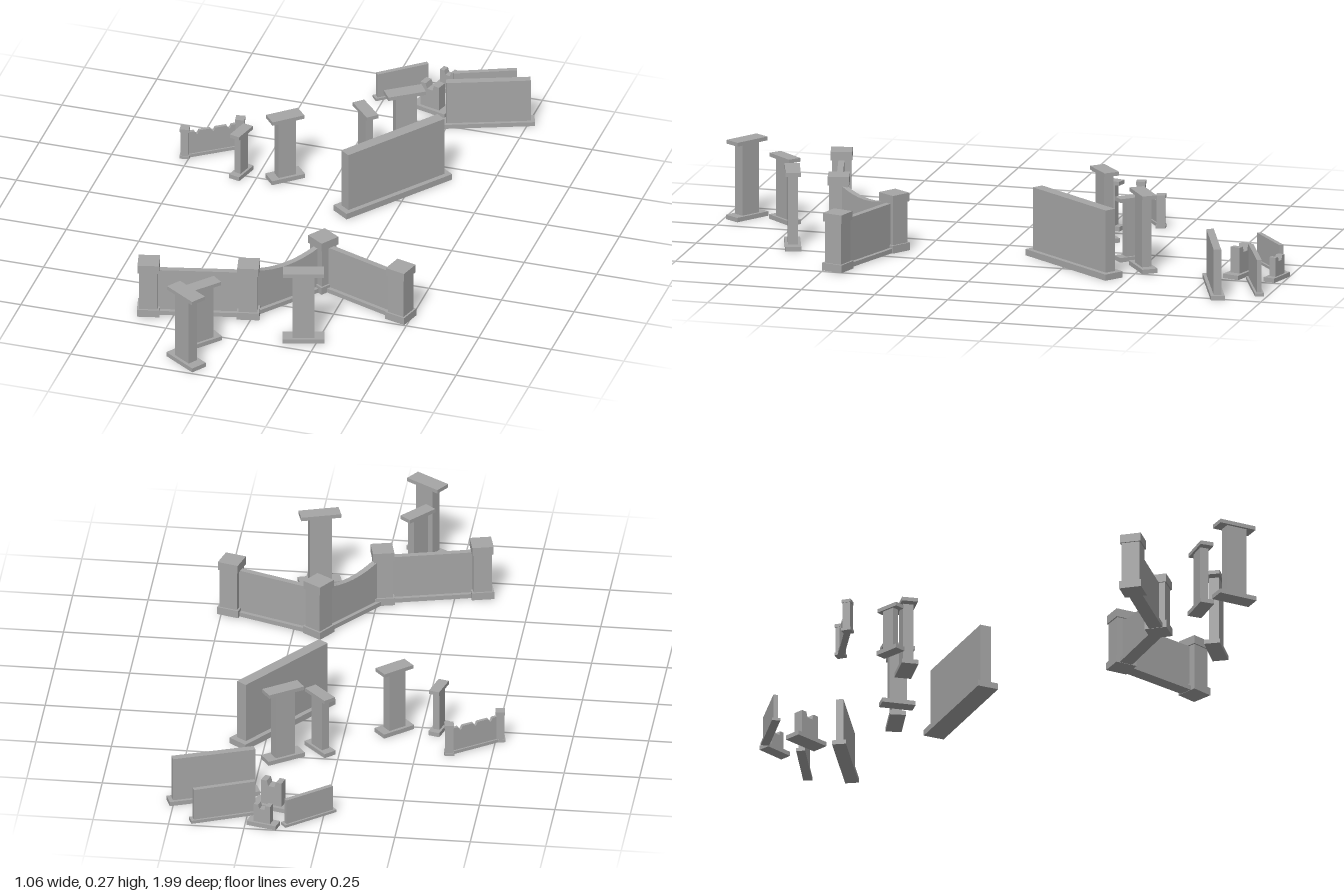
import * as THREE from 'three';

export function createModel() {
  const model = new THREE.Group();
  const stone = new THREE.MeshStandardMaterial({ color: 0xa6a6a6 });
  stone.name = 'grey stone';

  // group standing at (x, z) with its long side along (dx, dz)
  function place(name, x, z, dx, dz) {
    const g = new THREE.Group();
    g.name = name;
    g.position.set(x, 0, z);
    g.rotation.y = Math.atan2(-dz, dx);
    model.add(g);
    return g;
  }
  // box from height y0 to y1
  function block(g, name, w, d, y0, y1, x = 0) {
    const m = new THREE.Mesh(new THREE.BoxGeometry(w, y1 - y0, d), stone);
    m.name = name;
    m.position.set(x, (y0 + y1) / 2, 0);
    g.add(m);
  }
  // upright slab with a shaped outline
  function slab(g, name, shape, d) {
    const geo = new THREE.ExtrudeGeometry(shape, { depth: d, bevelEnabled: false, curveSegments: 8 });
    geo.translate(0, 0, -d / 2);
    const m = new THREE.Mesh(geo, stone);
    m.name = name;
    g.add(m);
  }

  // free-standing pillars: x, z, direction, length, depth, height
  const pillars = [
    [-0.124, 0.931, 20.5, 13.5, 0.13, 0.055, 0.272],
    [-0.108, 0.797, 14, -16.5, 0.114, 0.045, 0.227],
    [0.203, 0.683, 24, -7.5, 0.134, 0.05, 0.268],
    [-0.161, -0.28, 15, -13, 0.114, 0.053, 0.243],
    [-0.306, -0.26, 4, -15, 0.085, 0.036, 0.17],
    [0.066, -0.439, 14, 15, 0.108, 0.042, 0.217],
    [0.18, -0.508, 20, -14, 0.13, 0.05, 0.266],
  ];
  for (const [x, z, dx, dz, l, d, h] of pillars) {
    const g = place('pillar', x, z, dx, dz);
    block(g, 'pillarBase', l + 0.005, d + 0.003, 0.003, 0.018);
    block(g, 'pillarShaft', l * 0.55, d * 0.66, 0.018, h - 0.013);
    block(g, 'pillarCap', l, d, h - 0.013, h);
  }

  // plain walls on plinths: x, z, direction, plinth length, depth, height, plinth height
  const walls = [
    [0.21, -0.28, 48.5, -65.5, 0.43, 0.072, 0.235, 0.024],
    [0.047, -0.905, 29, -24, 0.199, 0.028, 0.1, 0.012],
    [0.324, -0.931, 40, -17, 0.232, 0.03, 0.125, 0.014],
    [0.375, -0.804, 54, -20.5, 0.306, 0.046, 0.172, 0.018],
  ];
  for (const [x, z, dx, dz, l, d, h, b] of walls) {
    const g = place('plainWall', x, z, dx, dz);
    block(g, 'wallPlinth', l, d, 0.003, b);
    block(g, 'wallPanel', l * 0.91, d * 0.54, b, h);
  }

  // post with plinth and cap
  function post(x, z, dx, dz, s, h, cap, y0) {
    const g = place('wallPost', x, z, dx, dz);
    block(g, 'postBase', s * 1.05, s * 1.05, y0, y0 + cap * 0.9);
    block(g, 'postShaft', s * 0.87, s * 0.87, y0 + cap * 0.9, h - cap);
    block(g, 'postCap', s, s, h - cap, h);
  }

  // zigzag wall: four posts joined by three panels, the middle one sagging
  const corners = [[-0.335, 0.667], [-0.016, 0.587], [0.166, 0.347], [0.467, 0.455]];
  const turns = [[4, -1], [5, -1.2], [1.5, 1], [3.6, 1]];
  corners.forEach(([x, z], i) => post(x, z, ...turns[i], 0.071, 0.2, 0.029, 0.005));
  for (let i = 0; i < 3; i++) {
    const [a, b] = [corners[i], corners[i + 1]];
    const dx = b[0] - a[0], dz = b[1] - a[1];
    const l = Math.hypot(dx, dz);
    const g = place('zigzagWall', (a[0] + b[0]) / 2, (a[1] + b[1]) / 2, dx, dz);
    block(g, 'wallPlinth', l - 0.05, 0.046, 0.006, 0.021);
    if (i !== 1) {
      block(g, 'wallPanel', l - 0.04, 0.02, 0.021, 0.17);
    } else {
      const w = l / 2 - 0.02;
      const s = new THREE.Shape();
      s.moveTo(-w, 0.021);
      s.lineTo(w, 0.021);
      s.lineTo(w, 0.17);
      s.quadraticCurveTo(0, 0.122, -w, 0.17);
      s.closePath();
      slab(g, 'saggingPanel', s, 0.02);
    }
  }

  // small battlement wall between two little posts
  const ends = [[-0.515, -0.306], [-0.359, -0.418]];
  const bx = 0.156, bz = -0.112;
  for (const [x, z] of ends) post(x, z, 6, -1, 0.031, 0.117, 0.011, 0.005);
  const battlement = place('battlementWall', -0.437, -0.362, bx, bz);
  block(battlement, 'wallPlinth', 0.175, 0.022, 0.005, 0.016);
  const outline = new THREE.Shape();
  outline.moveTo(-0.092, 0.016);
  outline.lineTo(0.092, 0.016);
  outline.lineTo(0.092, 0.099);
  for (const n of [0.056, 0, -0.056]) {
    outline.lineTo(n + 0.008, 0.099);
    outline.quadraticCurveTo(n, 0.075, n - 0.008, 0.099);
  }
  outline.lineTo(-0.092, 0.099);
  outline.closePath();
  slab(battlement, 'battlementPanel', outline, 0.011);

  // low stones with a notched top: x, z, direction, length, depth, height
  const stones = [
    [0.172, -0.84, 24, 7, 0.13, 0.058, 0.105],
    [0.19, -0.968, 19, 5, 0.104, 0.04, 0.082],
  ];
  for (const [x, z, dx, dz, l, d, h] of stones) {
    const g = place('notchedStone', x, z, dx, dz);
    block(g, 'stoneBase', l, d, 0.003, 0.018);
    const w = l * 0.28;
    const s = new THREE.Shape();
    s.moveTo(-w, 0.018);
    s.lineTo(w, 0.018);
    s.lineTo(w, h);
    s.lineTo(w * 0.45, h);
    s.lineTo(w * 0.3, h * 0.82);
    s.lineTo(-w * 0.3, h * 0.82);
    s.lineTo(-w * 0.45, h);
    s.lineTo(-w, h);
    s.closePath();
    slab(g, 'stoneBody', s, d * 0.6);
  }
  return model;
}
